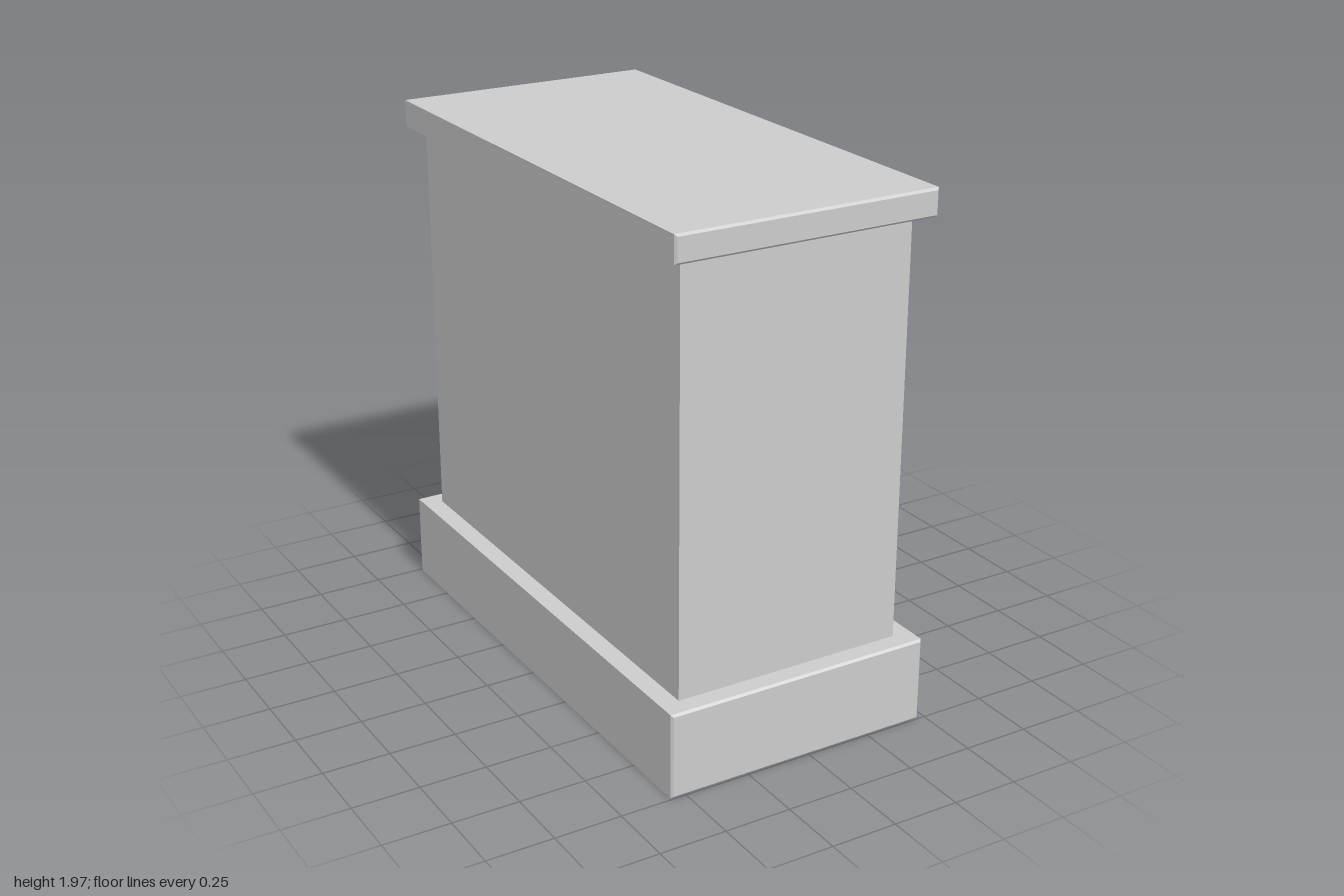
import * as THREE from 'three';

const material = new THREE.MeshStandardMaterial({ color: 0xcccccc });

function rectangle(PathType, x0, x1, y0, y1) {
  return new PathType([[x0, y0], [x1, y0], [x1, y1], [x0, y1]].map(([x, y]) => new THREE.Vector2(x, y)));
}

// Box with a small chamfer on every edge, given by its limits on each axis
function chamferBox(name, [x0, x1], [y0, y1], [z0, z1], c = 0.008) {
  const geometry = new THREE.ExtrudeGeometry(rectangle(THREE.Shape, x0 + c, x1 - c, y0 + c, y1 - c), {
    depth: z1 - z0 - 2 * c, bevelSize: c, bevelThickness: c, bevelSegments: 1,
  });
  geometry.translate(0, 0, z0 + c);
  const mesh = new THREE.Mesh(geometry, material);
  mesh.name = name;
  return mesh;
}

export function createModel() {
  const group = new THREE.Group();
  group.name = 'cabinet';
  const front = 0.4, recess = 0.035;

  // Plinth, carcass and top slab
  group.add(chamferBox('base', [-0.557, 0.473], [0, 0.32], [-1, 1]));
  const body = new THREE.Mesh(new THREE.BoxGeometry(front - recess + 0.485, 1.55, 1.85), material);
  body.name = 'body';
  body.position.set((front - recess - 0.485) / 2, 1.095, 0);
  group.add(body);
  group.add(chamferBox('top', [-0.541, 0.459], [1.87, 1.97], [-0.988, 0.988]));

  // Door face with two openings that leave the panels recessed
  const face = rectangle(THREE.Shape, -0.925, 0.925, 0.32, 1.87);
  for (const [a, b] of [[-0.726, -0.178], [0.178, 0.726]]) {
    face.holes.push(rectangle(THREE.Path, a, b, 0.435, 1.755));
  }
  const frameGeometry = new THREE.ExtrudeGeometry(face, { depth: recess, bevelEnabled: false });
  frameGeometry.rotateY(Math.PI / 2).translate(front - recess, 0, 0);
  const frame = new THREE.Mesh(frameGeometry, material);
  frame.name = 'doorFrame';
  group.add(frame);

  // A handle on each door: back plate, stem and knob
  for (const side of [-1, 1]) {
    const handle = new THREE.Group();
    handle.name = side > 0 ? 'leftHandle' : 'rightHandle';
    handle.position.z = side * 0.073;
    handle.add(chamferBox('plate', [front - 0.01, 0.432], [0.935, 1.31], [-0.054, 0.054], 0.005));
    handle.add(chamferBox('stem', [0.42, 0.475], [1.093, 1.153], [-0.03, 0.03], 0.003));
    handle.add(chamferBox('knob', [0.463, 0.555], [1.076, 1.172], [-0.044, 0.044], 0.009));
    group.add(handle);
  }
  return group;
}
